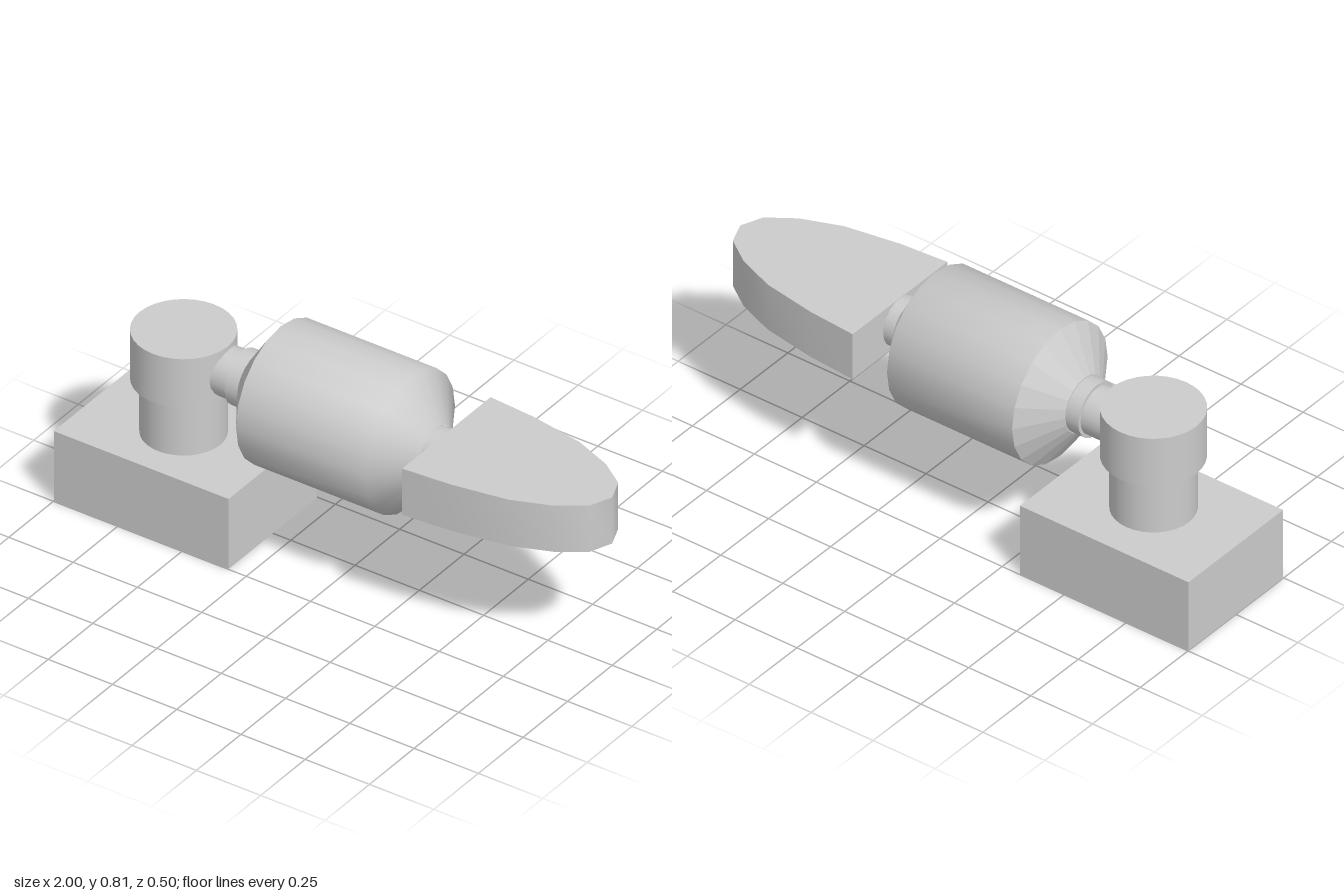
import * as THREE from 'three';
import { toCreasedNormals } from 'three/addons/utils/BufferGeometryUtils.js';

const AXIS_Y = 0.56; // height of the horizontal axis
const SIDES = 20;

export function createModel() {
  const group = new THREE.Group();
  const smooth = new THREE.MeshStandardMaterial({ color: 0xcccccc });
  const faceted = new THREE.MeshStandardMaterial({ color: 0xcccccc, flatShading: true });

  const add = (name, geometry, x, y, z = 0, material = smooth) => {
    const mesh = new THREE.Mesh(geometry, material);
    mesh.name = name;
    mesh.position.set(x, y, z);
    group.add(mesh);
  };

  // Upright cylinder between two heights
  const upright = (name, r, y0, y1) =>
    add(name, new THREE.CylinderGeometry(r, r, y1 - y0, 32), -0.66, (y0 + y1) / 2, 0.01);

  // Horizontal cylinder or cone along x, r0 at x0 and r1 at x1
  const along = (name, r0, r1, x0, x1, material) => {
    const g = new THREE.CylinderGeometry(r1, r0, x1 - x0, SIDES).rotateZ(-Math.PI / 2);
    add(name, g, (x0 + x1) / 2, AXIS_Y, 0, material);
  };

  // Base block, column and its wider cap
  add('base', new THREE.BoxGeometry(0.68, 0.27, 0.496), -0.66, 0.135);
  upright('column', 0.142, 0.27, 0.48);
  upright('columnCap', 0.172, 0.475, 0.662);

  // Shaft and collar leading into the body
  along('shaft', 0.086, 0.086, -0.6, -0.43);
  along('collar', 0.098, 0.098, -0.44, -0.385);
  along('rearCone', 0.102, 0.25, -0.388, -0.29, faceted);

  // Drum whose front shoulder is shaded smoothly
  const profile = [[0.25, -0.29], [0.25, 0.215], [0.09, 0.312]].map(p => new THREE.Vector2(...p));
  add('body', new THREE.LatheGeometry(profile, SIDES).rotateZ(-Math.PI / 2), 0, AXIS_Y);
  along('frontShaft', 0.088, 0.088, 0.3, 0.36);

  // Flat paddle with a rounded point
  const edge = [[0.355, 0.248], [0.535, 0.234], [0.735, 0.2], [0.875, 0.145], [0.968, 0.08]];
  const outline = [
    ...edge.map(([x, z]) => new THREE.Vector2(x, -z)),
    new THREE.Vector2(1, 0),
    ...edge.slice().reverse().map(([x, z]) => new THREE.Vector2(x, z)),
  ];
  const paddle = new THREE.ExtrudeGeometry(new THREE.Shape(outline), { depth: 0.178, bevelEnabled: false });
  paddle.rotateX(-Math.PI / 2);
  add('paddle', toCreasedNormals(paddle, 0.9), 0, 0.47);

  return group;
}
